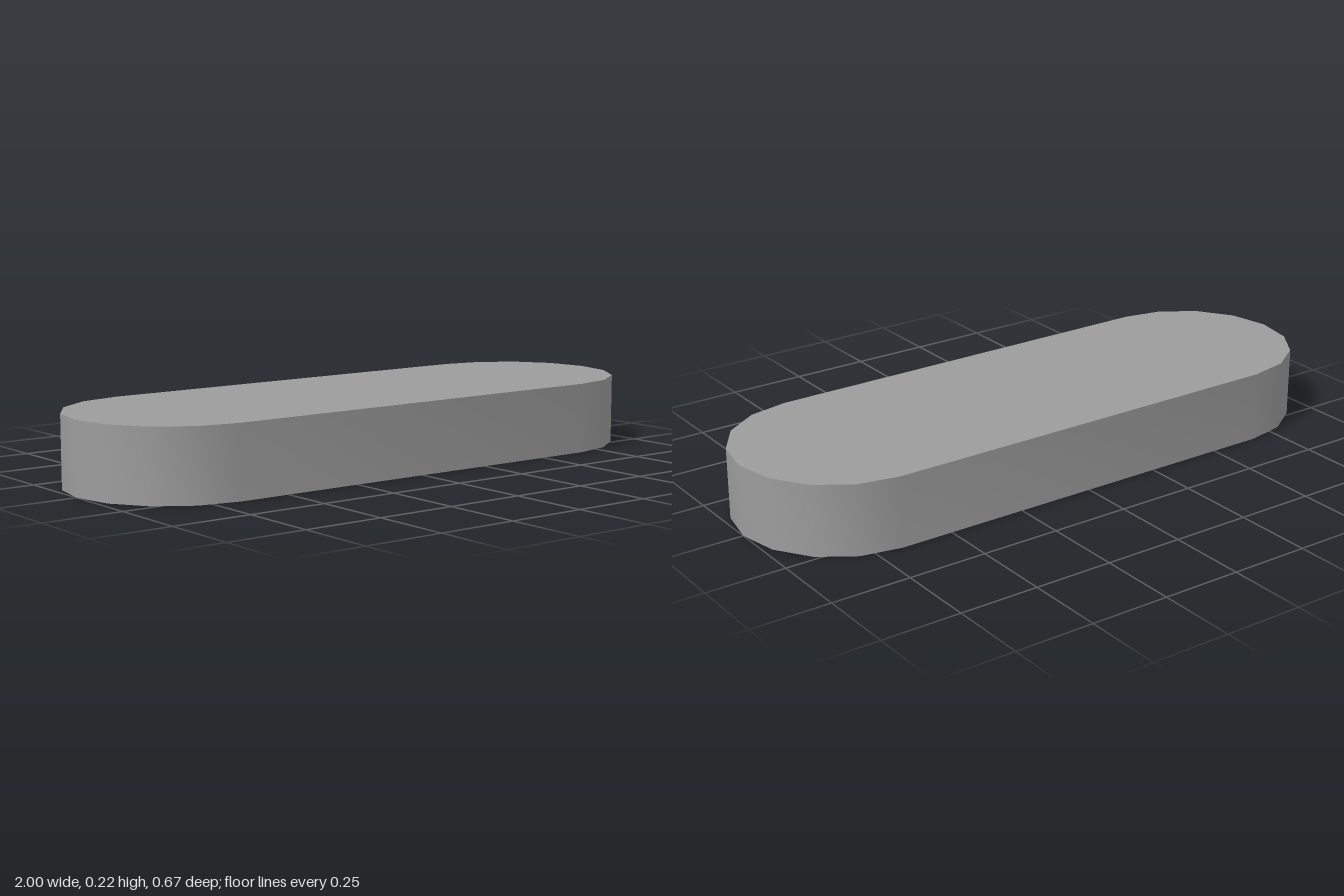
import * as THREE from 'three';
import { toCreasedNormals } from 'three/addons/utils/BufferGeometryUtils.js';

const HEIGHT = 0.223, CEILING = 0.112, RADIUS = 0.333, INNER = 0.233, END = 0.667;

// Stadium-shaped ring: two half circles of eight segments joined by straight sides
function stadium(r, y) {
  const points = [];
  for (const side of [1, -1]) {
    for (let i = 0; i <= 8; i++) {
      const a = -Math.PI / 2 + (i * Math.PI) / 8;
      points.push(new THREE.Vector3(side * (END + r * Math.cos(a)), y, side * r * Math.sin(a)));
    }
  }
  return points;
}

// Skin a series of rings, dropping triangles that collapse on the centre line
function loft(rings) {
  const positions = [];
  const add = (a, b, c) => {
    if (new THREE.Triangle(a, b, c).getArea() < 1e-7) return;
    for (const p of [a, b, c]) positions.push(p.x, p.y, p.z);
  };
  for (let k = 0; k < rings.length - 1; k++) {
    const p = rings[k], q = rings[k + 1];
    for (let i = 0; i < p.length; i++) {
      const j = (i + 1) % p.length;
      add(q[i], p[i], p[j]);
      add(q[i], p[j], q[j]);
    }
  }
  const geometry = new THREE.BufferGeometry();
  geometry.setAttribute('position', new THREE.Float32BufferAttribute(positions, 3));
  return toCreasedNormals(geometry, 0.7);
}

export function createModel() {
  const group = new THREE.Group();
  group.name = 'roundedTile';
  const material = new THREE.MeshStandardMaterial({ color: 0x9c9c9c });

  // Hollow shell: top, outer wall, bottom rim, inner wall, ceiling
  const profile = [
    [0, HEIGHT], [RADIUS, HEIGHT], [RADIUS, 0],
    [INNER, 0], [INNER, CEILING], [0, CEILING],
  ];
  const shell = new THREE.Mesh(loft(profile.map(([r, y]) => stadium(r, y))), material);
  shell.name = 'shell';
  group.add(shell);

  // Two pegs hanging from the ceiling, flush with the rim
  for (const side of [-1, 1]) {
    const geometry = new THREE.CylinderGeometry(0.1, 0.1, CEILING, 8);
    const peg = new THREE.Mesh(geometry, material);
    peg.name = side > 0 ? 'leftPeg' : 'rightPeg';
    peg.position.set(side * 0.333, CEILING / 2, 0);
    group.add(peg);
  }
  return group;
}
